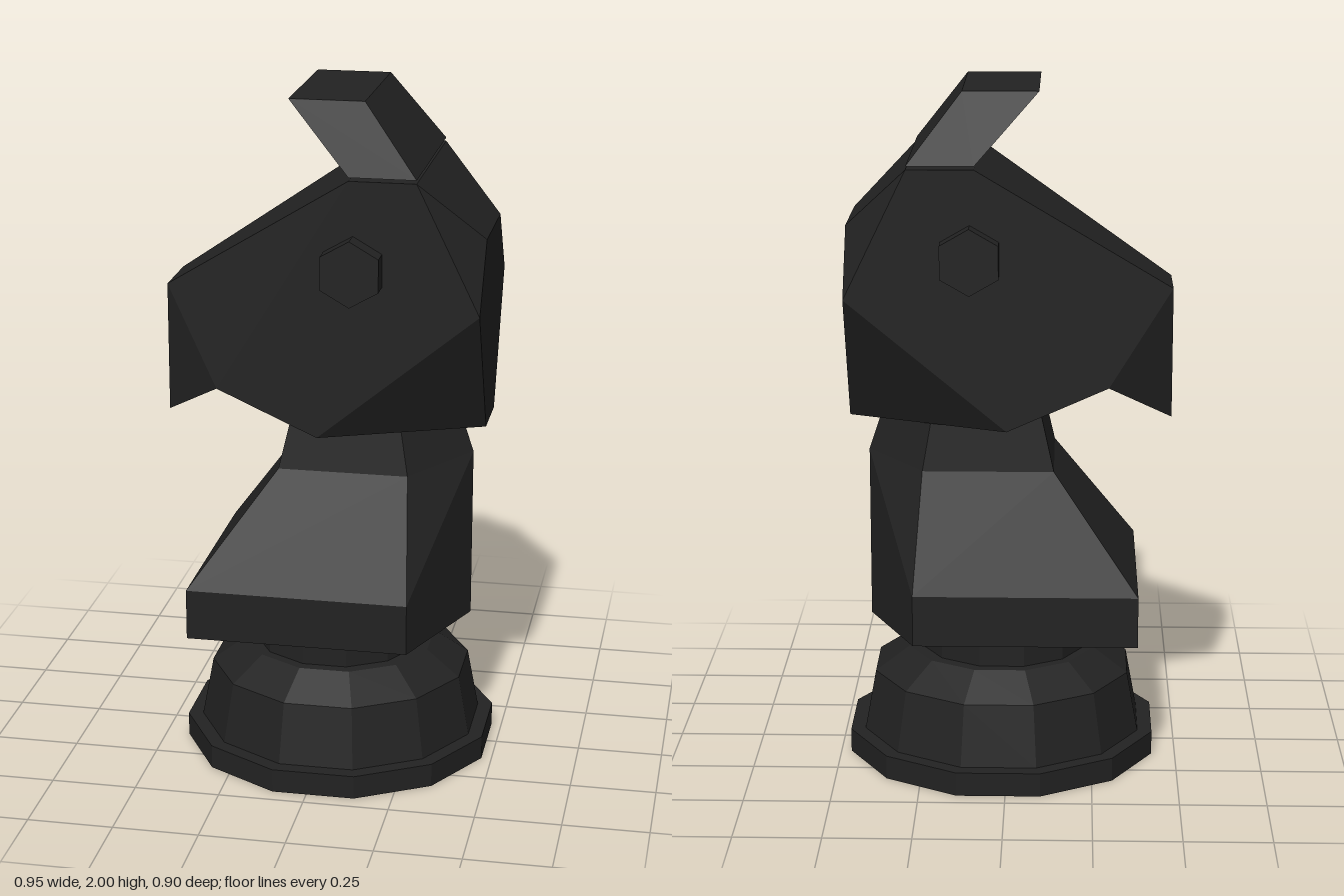
import * as THREE from 'three';

const material = new THREE.MeshStandardMaterial({ color: 0x222222, flatShading: true });

function addMesh(group, name, geometry) {
  const mesh = new THREE.Mesh(geometry, material);
  mesh.name = name;
  group.add(mesh);
  return mesh;
}

// Faceted solid from corner points and convex polygons (counter-clockwise from outside)
function solid(points, polygons) {
  const pos = [];
  for (const p of polygons)
    for (let i = 1; i < p.length - 1; i++) pos.push(...points[p[0]], ...points[p[i]], ...points[p[i + 1]]);
  const g = new THREE.BufferGeometry();
  g.setAttribute('position', new THREE.Float32BufferAttribute(pos, 3));
  g.computeVertexNormals();
  return g;
}

// Solid symmetric in z: an outline of [x, y, z] on the +z side, its side faces, and strips across
function mirrored(outline, sides) {
  const n = outline.length;
  const points = [...outline, ...outline.map(([x, y, z]) => [x, y, -z])];
  const faces = [];
  for (const s of sides) faces.push(s, s.map(i => i + n).reverse());
  for (let i = 0; i < n; i++) {
    const j = (i + 1) % n;
    faces.push([i, i + n, j + n, j]);
  }
  return solid(points, faces);
}

// Twelve-sided turned part with flats facing the axes
function turned(profile) {
  return new THREE.LatheGeometry(profile.map(p => new THREE.Vector2(...p)), 12, Math.PI / 12);
}

// Five-sided bust with a ridge down the back; ring = [y, frontX, backX, ridgeX, ridgeY, halfWidth, zShift]
function bustGeometry() {
  const rings = [
    [0.41, -0.38, 0.27, 0.41, 0.41, 0.325, 0],
    [0.56, -0.38, 0.27, 0.41, 0.56, 0.325, 0],
    [0.90, -0.135, 0.245, 0.41, 0.92, 0.185, -0.015],
    [1.10, -0.09, 0.21, 0.35, 1.10, 0.16, -0.02],
  ];
  const points = rings.flatMap(([y, f, b, rx, ry, w, s]) => [
    [f, y, w + s], [b, y, w + s], [rx, ry, -0.03], [b, y, s - w], [f, y, s - w],
  ]);
  const faces = [[4, 3, 2, 1, 0], [15, 16, 17, 18, 19]];
  for (let r = 0; r < 3; r++)
    for (let i = 0; i < 5; i++) {
      const a = r * 5 + i, b = r * 5 + (i + 1) % 5;
      // the facet split mirrors across the ridge
      faces.push(i === 2 ? [b, b + 5, a + 5, a] : [a, b, b + 5, a + 5]);
    }
  return solid(points, faces);
}

export function createModel() {
  const model = new THREE.Group();
  model.name = 'chessKnight';

  // Turned foot and collar
  addMesh(model, 'base', turned([
    [0, 0], [0.466, 0], [0.466, 0.07], [0.422, 0.07], [0.388, 0.25], [0.285, 0.32], [0, 0.32],
  ])).position.x = 0.02;
  addMesh(model, 'collar', turned([[0, 0.32], [0.2515, 0.32], [0.2515, 0.41], [0, 0.41]])).position.x = 0.015;

  addMesh(model, 'bust', bustGeometry());

  // Head: forehead, muzzle, jaw, throat, nape, crown
  addMesh(model, 'head', mirrored([
    [0.09, 1.79, 0.28], [-0.475, 1.42, 0.095], [-0.475, 1.04, 0.095],
    [-0.29, 1.17, 0.28], [0, 1.04, 0.28], [0.46, 1.04, 0.09],
    [0.46, 1.42, 0.28], [0.46, 1.61, 0.15], [0.28, 1.79, 0.28],
  ], [[0, 1, 3], [1, 2, 3], [0, 3, 4, 6, 8], [4, 5, 6], [6, 7, 8]]));

  // Forward-leaning crest, just clear of the crown
  addMesh(model, 'crest', mirrored([
    [-0.09, 2, 0.215], [0.09, 1.8, 0.28], [0.28, 1.8, 0.28], [0.125, 2, 0.215],
  ], [[0, 1, 2, 3]]));

  // Hexagonal eyes
  for (const side of [1, -1]) {
    const geometry = new THREE.CylinderGeometry(0.095, 0.095, 0.12, 6).rotateX(Math.PI / 2);
    addMesh(model, side > 0 ? 'leftEye' : 'rightEye', geometry).position.set(0.103, 1.54, side * 0.28);
  }

  return model;
}
